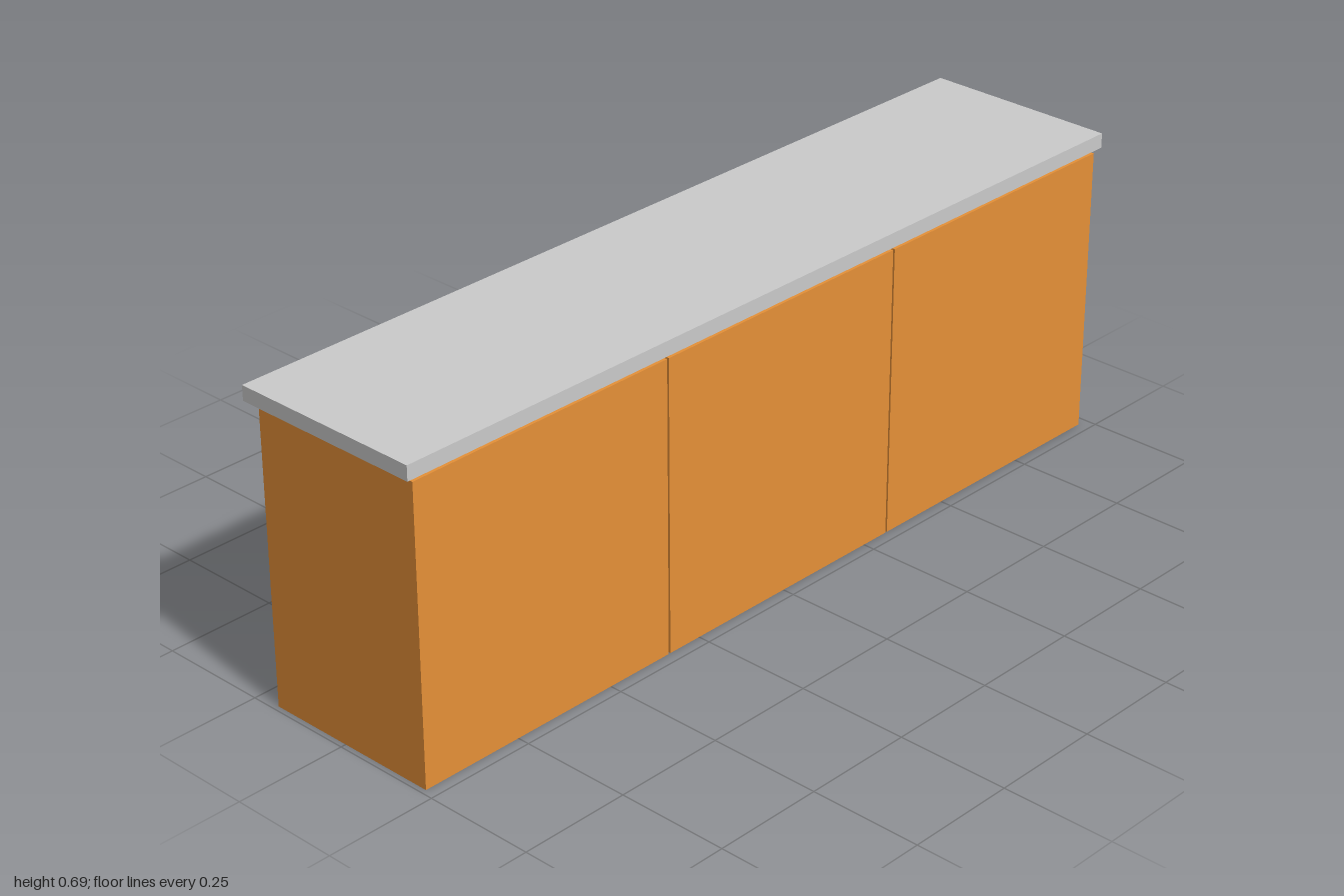
import * as THREE from 'three';

const WIDTH = 0.651, HEIGHT = 0.654, WALL = 0.04;
const PITCH = 0.656, MIDDLE_X = -0.007;
const BACK = -0.193, FRONT = 0.223;

// Rectangle outline centred on x, from y0 to y1
function rectangle(Type, width, y0, y1) {
  const w = width / 2;
  return new Type([[-w, y0], [w, y0], [w, y1], [-w, y1]].map(([x, y]) => new THREE.Vector2(x, y)));
}

// Box cabinet, closed at the front and open at the back
function createCabinet(material) {
  const cabinet = new THREE.Group();

  // Sides, top and bottom as one hollow frame
  const outline = rectangle(THREE.Shape, WIDTH, 0, HEIGHT);
  outline.holes.push(rectangle(THREE.Path, WIDTH - 2 * WALL, WALL, HEIGHT - WALL));
  const frame = new THREE.Mesh(
    new THREE.ExtrudeGeometry(outline, { depth: FRONT - WALL - BACK, bevelEnabled: false }), material);
  frame.name = 'cabinetFrame';
  frame.position.z = BACK;

  // Front panel
  const panel = new THREE.Mesh(new THREE.BoxGeometry(WIDTH, HEIGHT, WALL), material);
  panel.name = 'frontPanel';
  panel.position.set(0, HEIGHT / 2, FRONT - WALL / 2);

  cabinet.add(frame, panel);
  return cabinet;
}

export function createModel() {
  const model = new THREE.Group();
  model.name = 'counter';
  const wood = new THREE.MeshStandardMaterial({ color: 0xe69138 });
  const grey = new THREE.MeshStandardMaterial({ color: 0xcccccc });

  // Row of three cabinets with narrow gaps
  ['rightCabinet', 'middleCabinet', 'leftCabinet'].forEach((name, i) => {
    const cabinet = createCabinet(wood);
    cabinet.name = name;
    cabinet.position.x = MIDDLE_X + (i - 1) * PITCH;
    model.add(cabinet);
  });

  // Worktop, overhanging the back and ends
  const worktop = new THREE.Mesh(new THREE.BoxGeometry(2, 0.033, 2 * FRONT), grey);
  worktop.name = 'worktop';
  worktop.position.y = 0.6755;
  model.add(worktop);

  return model;
}
